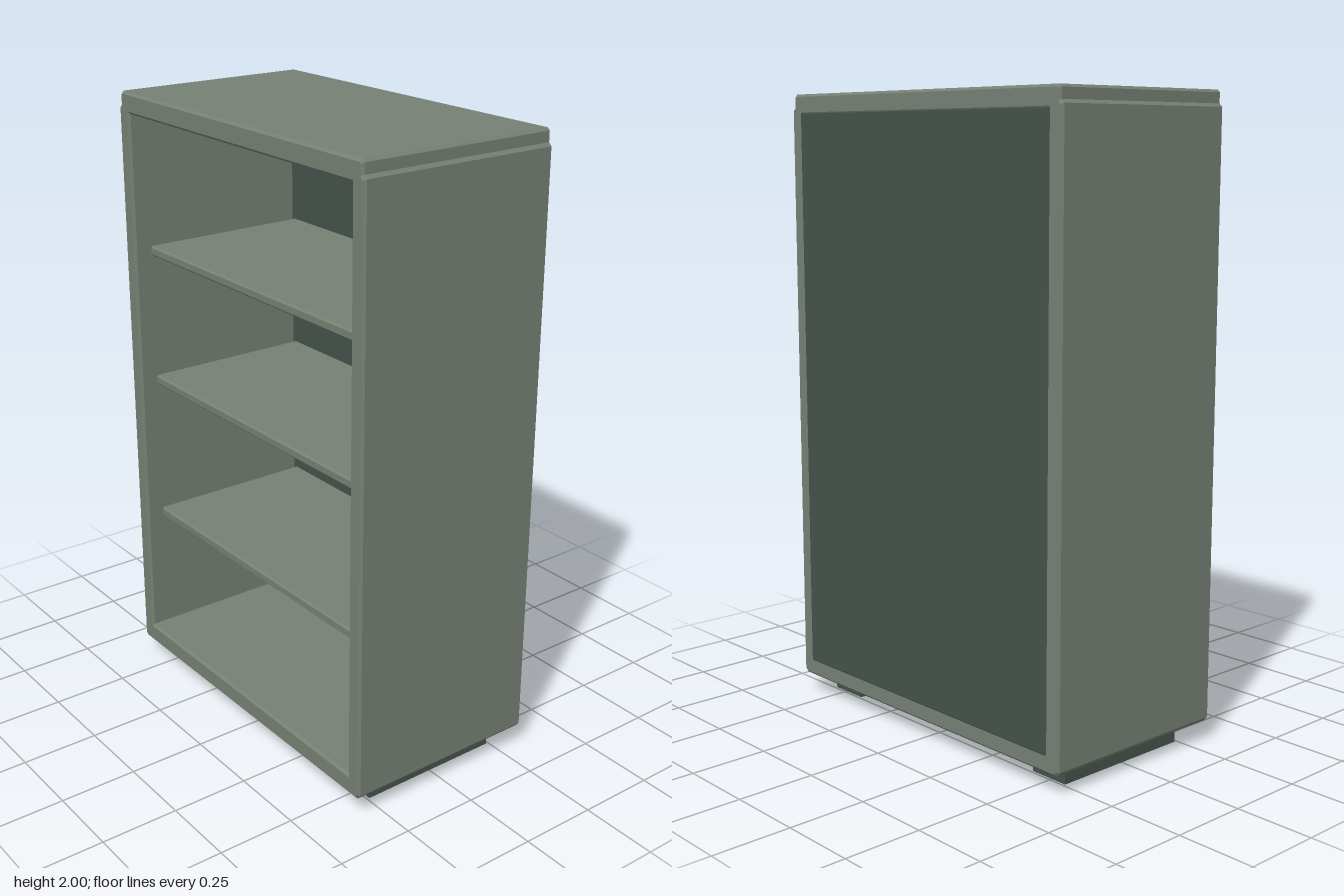
import * as THREE from 'three';
import { ConvexGeometry } from 'three/addons/geometries/ConvexGeometry.js';

const panelPaint = new THREE.MeshStandardMaterial({ color: 0x768074 });
panelPaint.name = 'sage green';
const darkPaint = new THREE.MeshStandardMaterial({ color: 0x46524a });
darkPaint.name = 'dark green';

// Box with every edge chamfered by c
function chamferBox(w, h, d, c) {
  const points = [];
  for (const x of [-1, 1]) for (const y of [-1, 1]) for (const z of [-1, 1]) {
    const [X, Y, Z] = [x * w / 2, y * h / 2, z * d / 2];
    points.push(
      new THREE.Vector3(X, Y - y * c, Z - z * c),
      new THREE.Vector3(X - x * c, Y, Z - z * c),
      new THREE.Vector3(X - x * c, Y - y * c, Z));
  }
  return new ConvexGeometry(points);
}

export function createModel() {
  const group = new THREE.Group();
  group.name = 'bookcase';
  const add = (name, geometry, material, x, y, z) => {
    const mesh = new THREE.Mesh(geometry, material);
    mesh.name = name;
    mesh.position.set(x, y, z);
    group.add(mesh);
  };

  // Carcass: sides, floor and slightly narrower top around the opening
  const half = [[0.603, 0.063], [0.615, 0.077], [0.615, 1.95], [0.605, 1.96], [0.605, 1.992], [0.597, 2]];
  const outline = [...half, ...half.map(([x, y]) => [-x, y]).reverse()];
  const frame = new THREE.Shape(outline.map(([x, y]) => new THREE.Vector2(x, y)));
  const opening = [[-0.56, 0.13], [-0.56, 1.933], [0.56, 1.933], [0.56, 0.13]];
  frame.holes.push(new THREE.Path(opening.map(([x, y]) => new THREE.Vector2(x, y))));
  const bevel = 0.008, depth = 0.666;
  const carcass = new THREE.ExtrudeGeometry(frame, {
    depth: depth - 2 * bevel, bevelEnabled: true, bevelSegments: 1,
    bevelSize: bevel, bevelThickness: bevel, bevelOffset: -bevel,
  });
  add('carcass', carcass, panelPaint, 0, 0, -depth / 2 + bevel);

  // Back panel, standing just proud of the carcass
  add('backPanel', chamferBox(1.136, 1.83, 0.047, 0.006), darkPaint, 0, 1.03, -0.3135);

  // Shelves
  for (const y of [0.567, 1.051, 1.493]) {
    add('shelf', chamferBox(1.09, 0.032, 0.575, 0.006), panelPaint, 0, y, -0.003);
  }

  // Skid feet
  for (const side of [-1, 1]) {
    add(side > 0 ? 'leftFoot' : 'rightFoot',
      new THREE.BoxGeometry(0.135, 0.07, 0.484), darkPaint, side * 0.4875, 0.035, 0);
  }
  return group;
}
